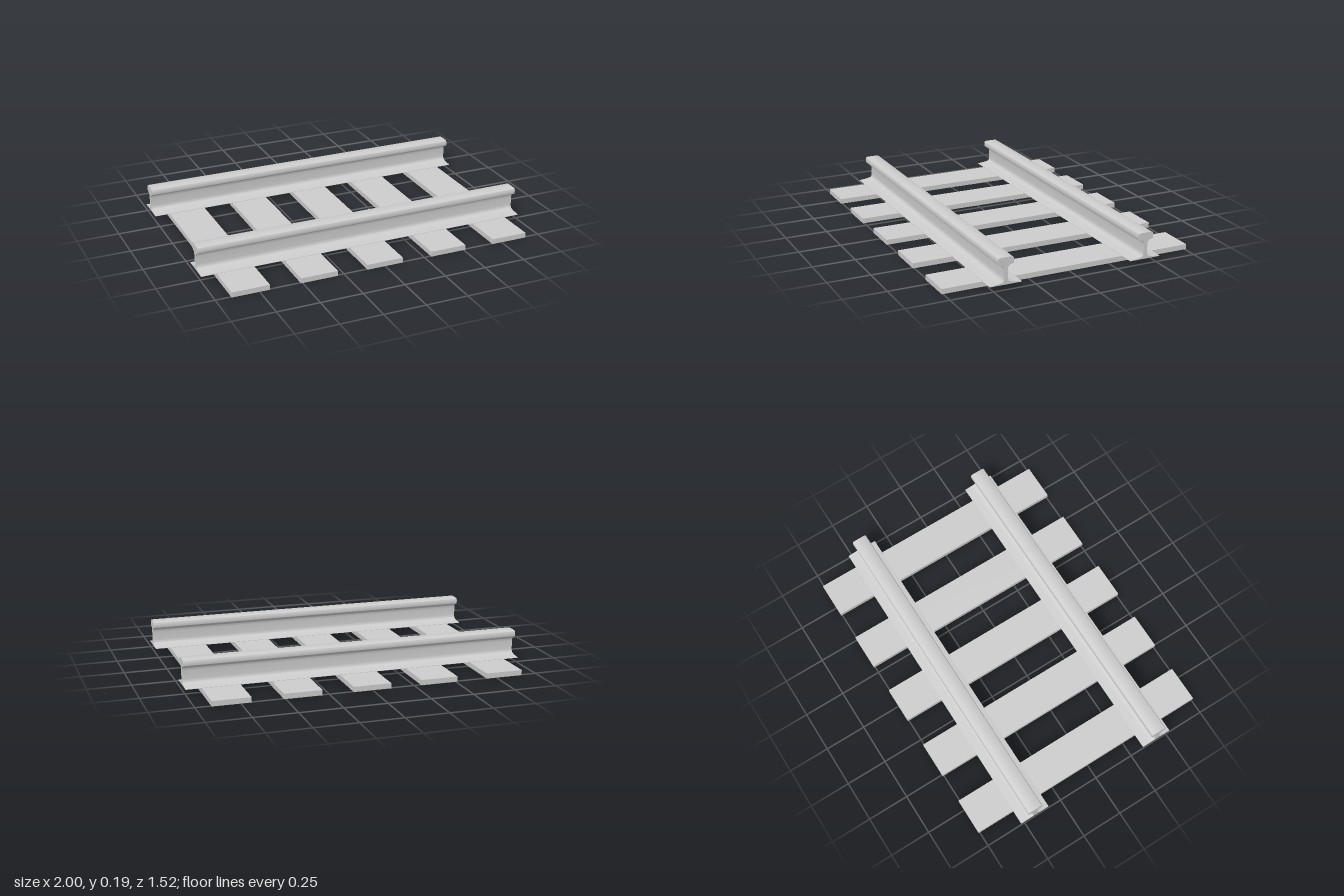
import * as THREE from 'three';
import { toCreasedNormals } from 'three/addons/utils/BufferGeometryUtils.js';

const LENGTH = 2;
const TIE_HEIGHT = 0.03;

// Half of the rail section (foot, web, head), mirrored about its centre line
function railGeometry() {
  const half = new THREE.Path();
  half.moveTo(0.095, TIE_HEIGHT);
  half.lineTo(0.095, 0.032);
  half.lineTo(0.05, 0.037);
  half.lineTo(0.027, 0.041);
  half.quadraticCurveTo(0.012, 0.045, 0.011, 0.065);
  half.lineTo(0.011, 0.115);
  half.quadraticCurveTo(0.012, 0.135, 0.024, 0.139);
  half.lineTo(0.04, 0.145);
  half.quadraticCurveTo(0.047, 0.147, 0.047, 0.153);
  half.lineTo(0.047, 0.17);
  half.quadraticCurveTo(0.047, 0.183, 0.031, 0.184);
  half.lineTo(0, 0.185);

  const right = half.getPoints(6);
  const left = right.slice(0, -1).reverse().map((p) => new THREE.Vector2(-p.x, p.y));
  const geometry = new THREE.ExtrudeGeometry(new THREE.Shape([...right, ...left]), {
    depth: LENGTH,
    bevelEnabled: false,
  });
  geometry.translate(0, 0, -LENGTH / 2).rotateY(Math.PI / 2);
  return toCreasedNormals(geometry, 0.6);
}

export function createModel() {
  const track = new THREE.Group();
  track.name = 'railwayTrack';

  const grey = new THREE.MeshStandardMaterial({ color: 0xcccccc });
  grey.name = 'lightGrey';

  // Five flat cross ties
  const tieGeometry = new THREE.BoxGeometry(0.22, TIE_HEIGHT, 1.516);
  for (let i = 0; i < 5; i++) {
    const tie = new THREE.Mesh(tieGeometry, grey);
    tie.name = `tie${i + 1}`;
    tie.position.set((i - 2) * 0.4, TIE_HEIGHT / 2, 0);
    track.add(tie);
  }

  // Two rails running along x
  const rail = railGeometry();
  for (const [name, z] of [['frontRail', 0.428], ['backRail', -0.428]]) {
    const mesh = new THREE.Mesh(rail, grey);
    mesh.name = name;
    mesh.position.z = z;
    track.add(mesh);
  }

  return track;
}
